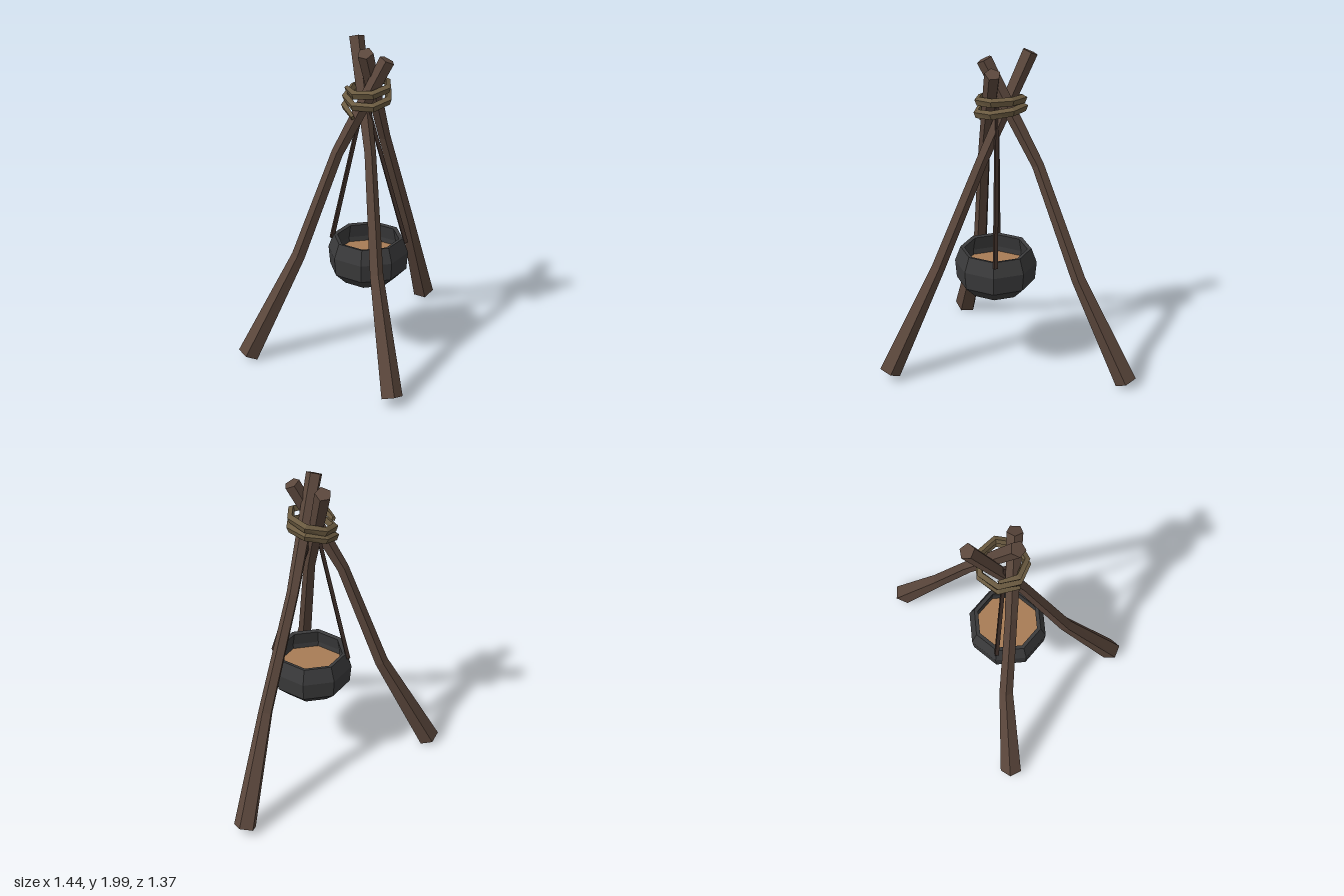
import * as THREE from 'three';

const material = (color) => new THREE.MeshStandardMaterial({ color, flatShading: true });
const V = (p) => new THREE.Vector3(...p);

// Capped faceted sweep through points; each size is [half width, half depth]
function sweep(points, sizes, sides, ref, phase) {
  const pts = points.map(V), pos = [];
  const rings = pts.map((p, i) => {
    const a = pts[Math.max(i - 1, 0)], b = pts[Math.min(i + 1, pts.length - 1)];
    const t = b.clone().sub(a).normalize();
    const u = ref.clone().cross(t).normalize();
    const v = t.clone().cross(u);
    return Array.from({ length: sides }, (_, k) => {
      const ang = phase + (k / sides) * Math.PI * 2;
      return p.clone()
        .addScaledVector(u, Math.cos(ang) * sizes[i][0])
        .addScaledVector(v, Math.sin(ang) * sizes[i][1]);
    });
  });
  const tri = (...c) => c.forEach((q) => pos.push(q.x, q.y, q.z));
  const last = rings.length - 1;
  for (let k = 0; k < sides; k++) {
    const n = (k + 1) % sides;
    for (let i = 0; i < last; i++) {
      tri(rings[i][k], rings[i][n], rings[i + 1][n]);
      tri(rings[i][k], rings[i + 1][n], rings[i + 1][k]);
    }
    tri(pts[0], rings[0][n], rings[0][k]);
    tri(pts[last], rings[last][k], rings[last][n]);
  }
  const geo = new THREE.BufferGeometry();
  geo.setAttribute('position', new THREE.Float32BufferAttribute(pos, 3));
  geo.computeVertexNormals();
  return geo;
}

export function createModel() {
  const model = new THREE.Group();
  const add = (name, geo, mat) => {
    const mesh = new THREE.Mesh(geo, mat);
    mesh.name = name;
    model.add(mesh);
    return mesh;
  };
  const wood = material(0x5b473c), darkWood = material(0x3d2e28);
  const iron = material(0x3a3a3b), rope = material(0x6a5a40), stew = material(0xa87c55);

  // Three bent poles, thick at the foot and crossing near the top
  const legs = {
    frontLeg: [[-0.015, 0.06, 0.63], [0, 0.7, 0.31], [0.05, 1.36, 0.045], [0.065, 1.98, -0.25]],
    rightLeg: [[-0.66, 0.035, -0.17], [-0.34, 0.68, -0.13], [-0.115, 1.35, -0.05], [0.16, 1.91, 0.03]],
    leftLeg: [[0.66, 0.04, -0.62], [0.455, 0.68, -0.39], [0.235, 1.35, -0.225], [0.03, 1.96, 0.02]],
  };
  const radii = [0.068, 0.043, 0.037, 0.048].map((r) => [r, r]);
  for (const [name, pts] of Object.entries(legs)) {
    const outward = new THREE.Vector3(pts[0][0], 0, pts[0][2]).normalize();
    add(name, sweep(pts, radii, 5, outward, Math.PI / 2), wood);
  }

  // Rope coil wound around the crossing, tilted as it climbs
  const coil = [], coilSizes = [];
  const steps = 15, perTurn = 7;
  for (let i = 0; i <= steps; i++) {
    const a = 2.6 + (i / perTurn) * Math.PI * 2;
    const f = i / steps, r = 0.135 - 0.012 * f;
    coil.push([
      0.073 + r * Math.cos(a),
      1.62 + 0.13 * f + 0.03 * Math.cos(a) - 0.03 * (1 - f) * Math.sin(a),
      -0.06 + (r + 0.01) * Math.sin(a),
    ]);
    const s = i === 0 || i === steps ? 0.6 : 1;
    coilSizes.push([0.022 * s, 0.026 * s]);
  }
  add('ropeBinding', sweep(coil, coilSizes, 4, new THREE.Vector3(0, 1, 0), 0.4), rope);

  // Two hangers from the crossing down to the pot rim
  const hangers = { leftHanger: [0.275, 0.76, 0.065], rightHanger: [-0.125, 0.76, -0.145] };
  for (const [name, foot] of Object.entries(hangers)) {
    add(name, sweep([foot, [0.05, 1.68, -0.05]], [[0.016, 0.016], [0.014, 0.014]], 4,
      new THREE.Vector3(0, 0, 1), Math.PI / 4), darkWood);
  }

  // Eight-sided pot with a hollow inside
  const turn = THREE.MathUtils.degToRad(16);
  const profile = [[0, 0.52], [0.165, 0.52], [0.235, 0.59], [0.245, 0.7], [0.212, 0.79],
    [0.188, 0.785], [0.205, 0.7], [0.2, 0.64]].map((p) => new THREE.Vector2(...p));
  const pot = add('pot', new THREE.LatheGeometry(profile, 8, turn), iron);
  pot.position.set(0.07, 0, -0.037);

  // Stew surface inside the pot
  const surface = new THREE.CircleGeometry(0.203, 8, turn - Math.PI / 2).rotateX(-Math.PI / 2);
  add('stew', surface, stew).position.set(0.07, 0.67, -0.037);

  return model;
}
